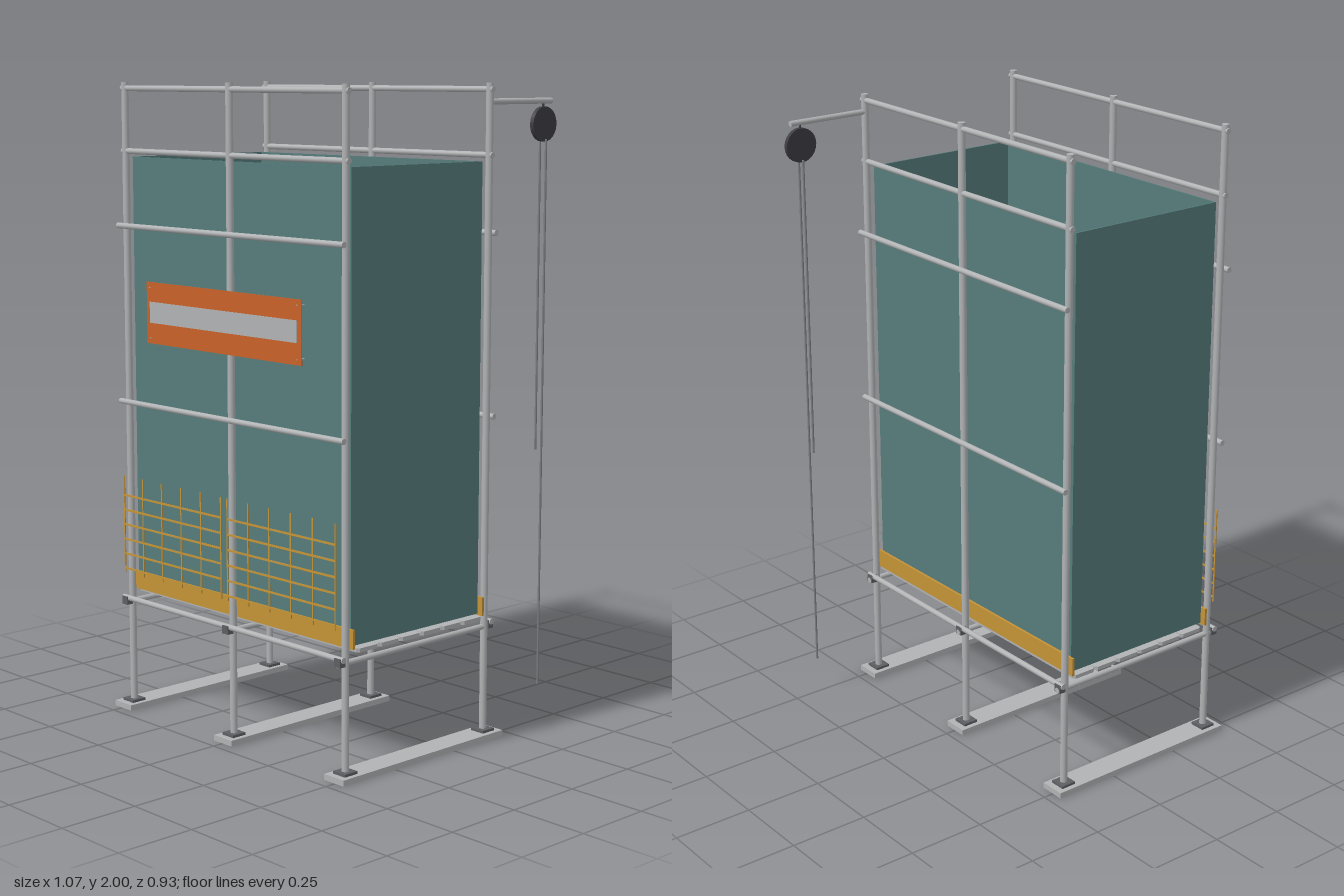
import * as THREE from 'three';

const material = (name, color) => new THREE.MeshStandardMaterial({ name, color });

const steel = material('galvanised steel', 0xb0b2b4);
const fitting = material('dark steel fittings', 0x5c5f63);
const sheet = material('teal sheeting', 0x557c7b);
const ochre = material('ochre toe board and wire', 0xc49236);
const orange = material('orange sign', 0xc86127);
const dark = material('dark wheel', 0x3c3c42);
const rope = material('grey rope', 0x7c7c82);

export function createModel() {
  const model = new THREE.Group();
  model.name = 'scaffoldTower';

  const box = (name, mat, w, h, d, x, y, z) => {
    const mesh = new THREE.Mesh(new THREE.BoxGeometry(w, h, d), mat);
    mesh.name = name;
    mesh.position.set(x, y, z);
    model.add(mesh);
  };

  // round bar between two points
  const bar = (name, mat, r, from, to, sides = 12) => {
    const a = new THREE.Vector3(...from), b = new THREE.Vector3(...to);
    const dir = b.clone().sub(a);
    const mesh = new THREE.Mesh(new THREE.CylinderGeometry(r, r, dir.length(), sides), mat);
    mesh.name = name;
    mesh.position.copy(a).add(b).multiplyScalar(0.5);
    mesh.quaternion.setFromUnitVectors(new THREE.Vector3(0, 1, 0), dir.normalize());
    model.add(mesh);
  };

  const postX = [-0.495, 0, 0.495];
  const rows = [
    { z: 0.418, ledgerZ: 0.44, toeZ: 0.399, sheetZ: 0.391 },
    { z: -0.17, ledgerZ: -0.188, toeZ: -0.149, sheetZ: -0.141 },
  ];

  // sole boards, cross tubes, posts, base plates and couplers
  for (const x of postX) {
    box('soleBoard', steel, 0.082, 0.018, 0.68, x, 0.009, 0.124);
    bar('crossTube', steel, 0.009, [x, 0.35, -0.2], [x, 0.35, 0.45]);
    for (const { z, ledgerZ } of rows) {
      box('basePlate', fitting, 0.05, 0.008, 0.05, x, 0.022, z);
      bar('post', steel, 0.0115, [x, 0.02, z], [x, 2, z]);
      box('coupler', fitting, 0.026, 0.026, 0.022, x, 0.356, ledgerZ);
    }
  }

  // lengthwise tubes and guard rails
  for (const { z, ledgerZ } of rows) {
    for (const y of [0.364, 1.002, 1.557]) {
      bar('ledger', steel, 0.009, [-0.512, y, ledgerZ], [0.512, y, ledgerZ]);
    }
    for (const y of [1.788, 1.981]) {
      bar('guardRail', steel, 0.009, [-0.51, y, z], [0.51, y, z]);
    }
  }

  // deck planks with clipped corners
  const c = 0.008, hw = 0.51, hd = 0.0428;
  const plankShape = new THREE.Shape([
    [-hw + c, -hd], [hw - c, -hd], [hw, -hd + c], [hw, hd - c],
    [hw - c, hd], [-hw + c, hd], [-hw, hd - c], [-hw, -hd + c],
  ].map(([x, y]) => new THREE.Vector2(x, y)));
  const plankGeometry = new THREE.ExtrudeGeometry(plankShape, { depth: 0.012, bevelEnabled: false });
  plankGeometry.rotateX(-Math.PI / 2);
  for (let i = 0; i < 6; i++) {
    const plank = new THREE.Mesh(plankGeometry, steel);
    plank.name = 'deckPlank';
    plank.position.set(0, 0.376, -0.103 + i * 0.0883);
    model.add(plank);
  }

  // toe boards and sheeting on the long sides, then the end sheeting
  for (const { toeZ, sheetZ } of rows) {
    box('toeBoard', ochre, 1.02, 0.058, 0.008, 0, 0.418, toeZ);
    box('longSheet', sheet, 0.98, 1.376, 0.005, 0, 1.082, sheetZ);
  }
  for (const x of [-0.49, 0.49]) {
    box('endSheet', sheet, 0.005, 1.376, 0.537, x, 1.082, 0.125);
  }

  // two wire guard panels above the front toe board
  for (const side of [-1, 1]) {
    for (let i = 0; i < 6; i++) {
      box('guardWireUpright', ochre, 0.005, 0.315, 0.003, side * (0.015 + i * 0.0945), 0.6075, 0.451);
      box('guardWireCross', ochre, 0.4725, 0.006, 0.003, side * 0.25125, 0.465 + i * 0.0475, 0.451);
    }
  }

  // sign board with plain strip and standoffs
  box('signBoard', orange, 0.705, 0.19, 0.003, 0, 1.298, 0.4545);
  box('signStrip', steel, 0.67, 0.065, 0.002, 0, 1.3, 0.458);
  for (const x of [-0.335, 0.335]) {
    for (const y of [1.22, 1.376]) {
      bar('signBolt', steel, 0.002, [x, y, 0.43], [x, y, 0.4585], 6);
    }
  }

  // hoist arm, wheel and ropes
  bar('hoistArm', steel, 0.009, [0.495, 1.945, -0.17], [0.495, 1.945, -0.445]);
  bar('hoistHanger', dark, 0.004, [0.495, 1.945, -0.41], [0.495, 1.9, -0.41], 6);
  bar('hoistWheel', dark, 0.053, [0.488, 1.875, -0.411], [0.502, 1.875, -0.411], 24);
  bar('longRope', rope, 0.0035, [0.507, 1.83, -0.411], [0.507, 0.12, -0.411], 8);
  bar('shortRope', rope, 0.0035, [0.483, 1.83, -0.411], [0.483, 0.87, -0.411], 8);

  return model;
}
